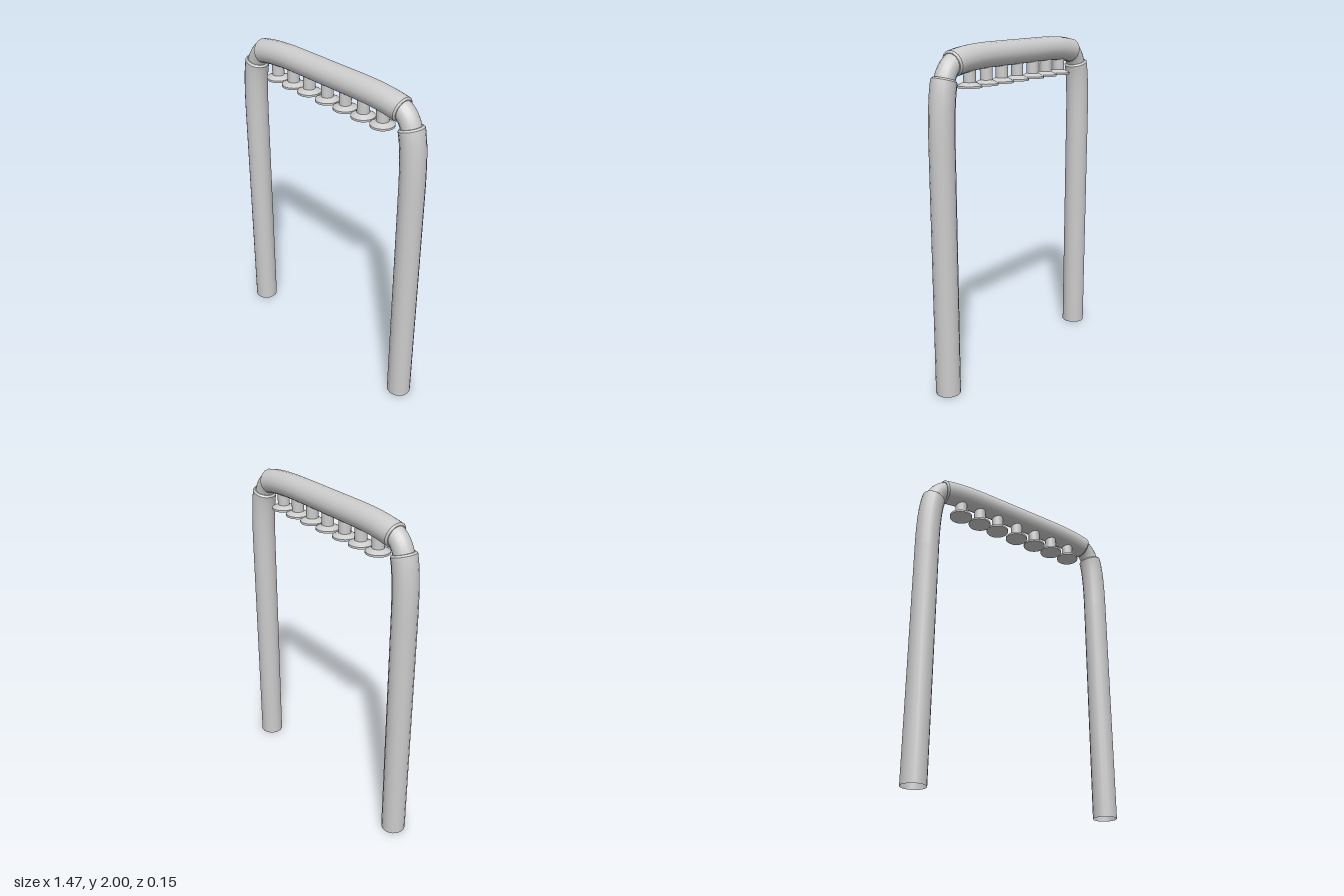
import * as THREE from 'three';
import { toCreasedNormals } from 'three/addons/utils/BufferGeometryUtils.js';

const material = new THREE.MeshStandardMaterial({ color: 0xcccccc, side: THREE.DoubleSide });
const SIDES = 16, PIPE = 0.073, ELBOW = 0.058, BEVEL = 0.01;
const v = (x, y) => new THREE.Vector2(x, y);

function addMesh(parent, geometry, name) {
  const mesh = new THREE.Mesh(toCreasedNormals(geometry, 0.6), material);
  mesh.name = name;
  parent.add(mesh);
  return mesh;
}

// Sweeps a round section along stations { p, t, r } (point, tangent, radius) in the xy plane
function sweep(stations) {
  const pos = [], index = [];
  stations.forEach(({ p, t, r }, i) => {
    for (let j = 0; j < SIDES; j++) {
      const a = (j / SIDES) * Math.PI * 2, c = r * Math.cos(a);
      pos.push(p.x - t.y * c, p.y + t.x * c, r * Math.sin(a));
      if (i === stations.length - 1) continue;
      const k = i * SIDES, a0 = k + j, b0 = k + (j + 1) % SIDES;
      index.push(a0, b0, a0 + SIDES, b0, b0 + SIDES, a0 + SIDES);
    }
  });
  const geometry = new THREE.BufferGeometry();
  geometry.setAttribute('position', new THREE.Float32BufferAttribute(pos, 3));
  geometry.setIndex(index);
  return geometry;
}

// Stations along one curve
function along(curve, n, r) {
  return Array.from({ length: n + 1 }, (_, i) => ({ p: curve.getPoint(i / n), t: curve.getTangent(i / n), r }));
}

// Bevelled lip that closes a pipe end down to the elbow; dir is +1 past the end, -1 before the start
function lip({ p, t }, dir) {
  const q = p.clone().addScaledVector(t, BEVEL * dir);
  return [{ p: q, t, r: PIPE - BEVEL }, { p: q, t, r: ELBOW - 0.003 }];
}

export function createModel() {
  const model = new THREE.Group();
  model.name = 'pipeFrame';

  for (const s of [1, -1]) {
    const side = s > 0 ? 'left' : 'right';

    // Leg: straight pipe, open at the foot, bending inward at the top
    const bend = new THREE.QuadraticBezierCurve(v(s * 0.664, 1.45), v(s * 0.664, 1.72), v(s * 0.635, 1.815));
    const leg = [{ p: v(s * 0.664, 0), t: v(0, 1), r: PIPE }, ...along(bend, 10, PIPE)];
    leg.push(...lip(leg[leg.length - 1], 1));
    addMesh(model, sweep(leg), side + 'Leg');

    // Narrower elbow joining leg and top bar
    const elbow = new THREE.QuadraticBezierCurve(v(s * 0.639, 1.80), v(s * 0.612, 1.888), v(s * 0.55, 1.908));
    addMesh(model, sweep(along(elbow, 10, ELBOW)), side + 'Elbow');
  }

  // Top bar: level in the middle, drooping toward both ends
  const rise = new THREE.QuadraticBezierCurve(v(-0.565, 1.9), v(-0.45, 1.927), v(-0.25, 1.927));
  const fall = new THREE.QuadraticBezierCurve(v(0.25, 1.927), v(0.45, 1.927), v(0.565, 1.9));
  const bar = [...along(rise, 8, PIPE), ...along(fall, 8, PIPE)];
  addMesh(model, sweep([...lip(bar[0], -1).reverse(), ...bar, ...lip(bar[bar.length - 1], 1)]), 'topBar');

  // Row of flanged knobs hanging below the bar
  const profile = [v(0, 1.76), v(0.07, 1.76), v(0.07, 1.772), v(0.036, 1.79), v(0.036, 1.88)];
  const knob = new THREE.LatheGeometry(profile, 20);
  [-0.435, -0.294, -0.156, -0.003, 0.144, 0.285, 0.43].forEach((x, i) => {
    addMesh(model, knob, 'knob' + (i + 1)).position.x = x;
  });

  return model;
}
